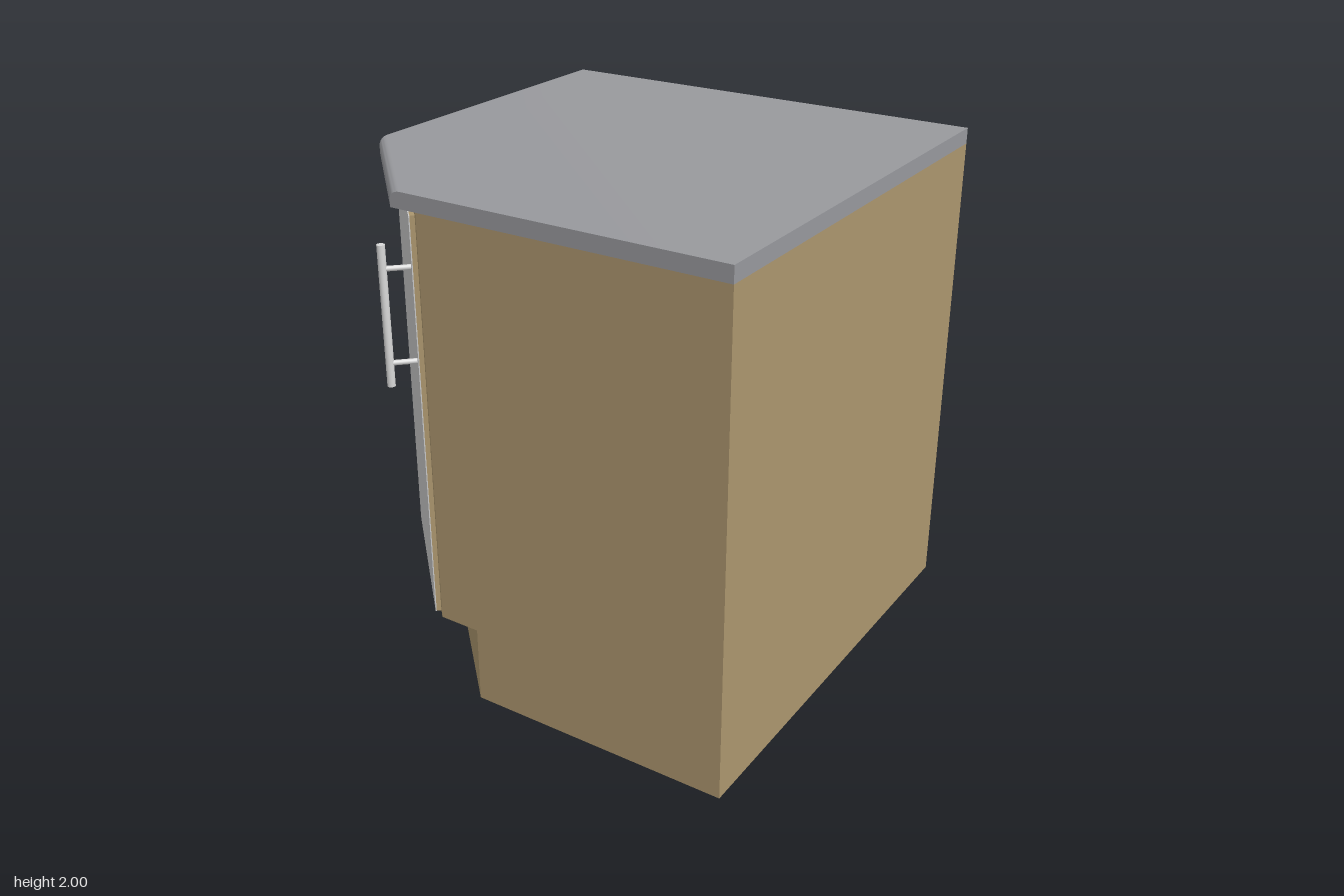
import * as THREE from 'three';
import { toCreasedNormals } from 'three/addons/utils/BufferGeometryUtils.js';

const LEFT = -0.917, RIGHT = 0.912, BACK = -0.932, FRONT = 0.898;

// Five-sided outline; the diagonal corner lies on the line z - x = cut
const outline = (cut) => [
  [LEFT, BACK], [LEFT, LEFT + cut], [FRONT - cut, FRONT], [RIGHT, FRONT], [RIGHT, BACK],
];

// Closed solid through stacked outlines, each level given as [y, cut]
function cornerSolid(levels) {
  const pos = [], index = [], n = 5;
  for (const [y, cut] of levels) {
    for (const [x, z] of outline(cut)) pos.push(x, y, z);
  }
  for (let l = 0; l < levels.length - 1; l++) {
    for (let i = 0; i < n; i++) {
      const a = l * n + i, b = l * n + (i + 1) % n;
      index.push(a, b, b + n, a, b + n, a + n);
    }
  }
  const top = (levels.length - 1) * n;
  for (let i = 1; i < n - 1; i++) {
    index.push(top, top + i, top + i + 1, 0, i + 1, i);
  }
  const geo = new THREE.BufferGeometry();
  geo.setAttribute('position', new THREE.Float32BufferAttribute(pos, 3));
  geo.setIndex(index);
  return toCreasedNormals(geo, Math.PI / 6);
}

export function createModel() {
  const material = (name, color) => {
    const m = new THREE.MeshStandardMaterial({ color });
    m.name = name;
    return m;
  };
  const wood = material('wood', 0xac966e);
  const stone = material('worktop grey', 0x98999d);
  const paint = material('door grey', 0xcbcbcb);
  const metal = material('handle metal', 0xd8d8d8);

  const add = (parent, name, geo, mat, x = 0, y = 0, z = 0) => {
    const mesh = new THREE.Mesh(geo, mat);
    mesh.name = name;
    mesh.position.set(x, y, z);
    parent.add(mesh);
    return mesh;
  };

  const model = new THREE.Group();
  model.name = 'cornerCabinet';

  // Recessed plinth and cabinet body
  const bodyCut = 1.227, floorY = 0.31, topY = 1.938;
  add(model, 'plinth', cornerSolid([[0, 1.057], [floorY, 1.057]]), wood);
  add(model, 'carcass', cornerSolid([[floorY, bodyCut], [topY, bodyCut]]), wood);

  // Worktop with a rounded upper edge along the diagonal
  const edgeCut = 1.338, r = 0.032, levels = [[topY, edgeCut]];
  for (let i = 0; i <= 8; i++) {
    const a = (i / 8) * Math.PI / 2;
    levels.push([2 - r + r * Math.sin(a), edgeCut - Math.SQRT2 * r * (1 - Math.cos(a))]);
  }
  add(model, 'worktop', cornerSolid(levels), stone);

  // Door on the diagonal face: local z points outward
  const door = new THREE.Group();
  door.name = 'door';
  const midX = (LEFT + FRONT - bodyCut) / 2;
  door.position.set(midX, 0, midX + bodyCut);
  door.rotation.y = -Math.PI / 4;
  model.add(door);
  const w = 0.742, h = 1.603, midY = floorY + 0.001 + h / 2;
  add(door, 'doorPanel', new THREE.BoxGeometry(w, h, 0.018), wood, 0, midY, 0.009);
  add(door, 'doorFacing', new THREE.BoxGeometry(w, h, 0.004), paint, 0, midY, 0.02);

  // Bar handle on two posts
  const handleX = 0.319, handleZ = 0.121;
  add(door, 'handleBar', new THREE.CylinderGeometry(0.015, 0.015, 0.54, 24), metal, handleX, 1.53, handleZ);
  for (const y of [1.35, 1.71]) {
    const post = add(door, 'handlePost', new THREE.CylinderGeometry(0.01, 0.01, 0.1, 16), metal, handleX, y, 0.071);
    post.rotation.x = Math.PI / 2;
  }
  return model;
}
